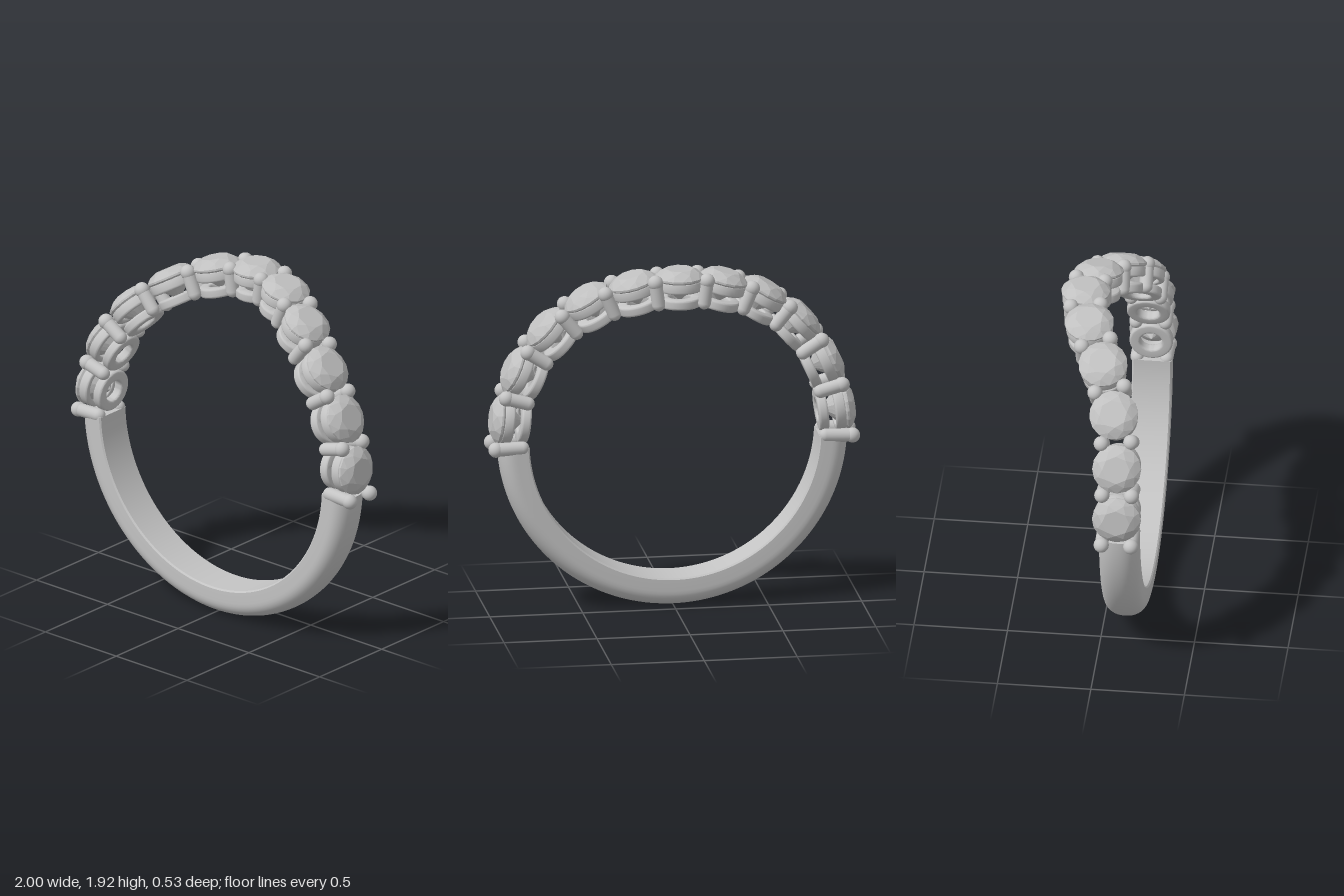
import * as THREE from 'three';
import { toCreasedNormals } from 'three/addons/utils/BufferGeometryUtils.js';
import { ConvexGeometry } from 'three/addons/geometries/ConvexGeometry.js';

const CENTER_Y = 0.94;
const BAND_Z = 0.133;
const END = THREE.MathUtils.degToRad(88);
const STONE_ANGLES = [0, 15.2, 31, 48, 65.5, 83];
const PRONG_ANGLES = [7.6, 23.1, 39.5, 57, 74.5, 92];

const metal = new THREE.MeshStandardMaterial({ color: 0xc4c4c4, side: THREE.DoubleSide });
metal.name = 'polished metal';
const gem = new THREE.MeshStandardMaterial({ color: 0xc0c0c0 });
gem.name = 'clear stone';

function mesh(name, geometry, material) {
  const m = new THREE.Mesh(geometry, material);
  m.name = name;
  return m;
}

// The jewelled half sweeps backwards towards the top of the ring
const sweep = (deg) => 0.13 - 0.265 * Math.exp(-((deg / 35) ** 2));

// Frame on the ring: +y points outwards, x follows the swept curve; angle runs from the top
function station(name, deg) {
  const outer = new THREE.Group();
  outer.name = name;
  outer.position.y = CENTER_Y;
  outer.rotation.z = -THREE.MathUtils.degToRad(deg);
  const inner = new THREE.Group();
  inner.name = name + 'Frame';
  inner.position.z = sweep(deg);
  const arc = 0.92 * THREE.MathUtils.degToRad(2);
  inner.rotation.y = -Math.atan2(sweep(deg + 1) - sweep(deg - 1), arc);
  outer.add(inner);
  return { outer, inner };
}

// Plain lower band: domed outside, flat inside, with capped ends
function makeBand() {
  const group = new THREE.Group();
  group.name = 'band';
  const w = 0.106;
  const profile = [new THREE.Vector2(0.78, -w + 0.008), new THREE.Vector2(0.788, -w)];
  for (let i = 0; i <= 20; i++) {
    const a = -Math.PI / 2 + (Math.PI * i) / 20;
    profile.push(new THREE.Vector2(
      0.85 + 0.09 * Math.cos(a) ** 0.9,
      w * Math.sign(Math.sin(a)) * Math.abs(Math.sin(a)) ** 0.9));
  }
  profile.push(new THREE.Vector2(0.788, w), new THREE.Vector2(0.78, w - 0.008));
  const lathe = new THREE.LatheGeometry([...profile, profile[0].clone()], 96, -END, 2 * END);
  lathe.rotateX(Math.PI / 2);
  group.add(mesh('shank', toCreasedNormals(lathe, 0.6), metal));

  for (const side of [-1, 1]) {
    const radial = new THREE.Vector3(side * Math.sin(END), -Math.cos(END), 0);
    const axis = new THREE.Vector3(0, 0, 1);
    const cap = new THREE.ShapeGeometry(new THREE.Shape(profile));
    cap.applyMatrix4(new THREE.Matrix4().makeBasis(radial, axis, radial.clone().cross(axis)));
    group.add(mesh('shankEnd', cap, metal));
  }
  group.position.set(0, CENTER_Y, BAND_Z);
  return group;
}

// Round brilliant: octagonal table, kite points, girdle and pointed pavilion
function stoneGeometry() {
  const points = [new THREE.Vector3(0, 0.805, 0)];
  const ring = (n, r, y, turn) => {
    for (let i = 0; i < n; i++) {
      const a = ((i + turn) / n) * Math.PI * 2;
      points.push(new THREE.Vector3(r * Math.cos(a), y, r * Math.sin(a)));
    }
  };
  ring(8, 0.074, 0.983, 0);
  ring(8, 0.105, 0.967, 0.5);
  ring(16, 0.131, 0.942, 0);
  ring(16, 0.131, 0.932, 0);
  ring(8, 0.065, 0.865, 0.5);
  return new ConvexGeometry(points);
}

// Washer with rounded rims, used for both rings of a setting
function collarGeometry(inner, outer, bottom, top) {
  const b = 0.013;
  const shape = new THREE.Path();
  shape.moveTo(inner, bottom + b);
  shape.quadraticCurveTo(inner, bottom, inner + b, bottom);
  shape.lineTo(outer - b, bottom);
  shape.quadraticCurveTo(outer, bottom, outer, bottom + b);
  shape.lineTo(outer, top - b);
  shape.quadraticCurveTo(outer, top, outer - b, top);
  shape.lineTo(inner + b, top);
  shape.quadraticCurveTo(inner, top, inner, top - b);
  shape.lineTo(inner, bottom + b);
  return toCreasedNormals(new THREE.LatheGeometry(shape.getPoints(4), 40), 0.7);
}

export function createModel() {
  const model = new THREE.Group();
  model.name = 'ring';
  model.add(makeBand());

  const stone = stoneGeometry();
  const upper = collarGeometry(0.092, 0.125, 0.868, 0.926);
  const lower = collarGeometry(0.058, 0.116, 0.78, 0.833);

  // Eleven stones, each on two collars
  const mirrored = (list) => list.flatMap((a) => (a === 0 ? [0] : [-a, a]));
  for (const deg of mirrored(STONE_ANGLES)) {
    const { outer, inner } = station('setting', deg);
    inner.add(
      mesh('stone', stone, gem),
      mesh('upperCollar', upper, metal),
      mesh('lowerCollar', lower, metal));
    model.add(outer);
  }

  // Pairs of ball-tipped prongs between the stones
  const ball = new THREE.SphereGeometry(0.041, 20, 14);
  for (const deg of mirrored(PRONG_ANGLES)) {
    const { outer, inner } = station('prongPair', deg);
    const top = Math.abs(deg) > 90 ? 1.0 : 0.977;
    const length = top - 0.78;
    const rod = new THREE.CapsuleGeometry(0.036, length - 0.072, 6, 20);
    for (const z of [-0.079, 0.079]) {
      const prong = mesh('prong', rod, metal);
      prong.position.set(0, 0.78 + length / 2, z);
      const tip = mesh('prongTip', ball, metal);
      tip.position.set(0, top - 0.041, z);
      inner.add(prong, tip);
    }
    model.add(outer);
  }
  return model;
}
